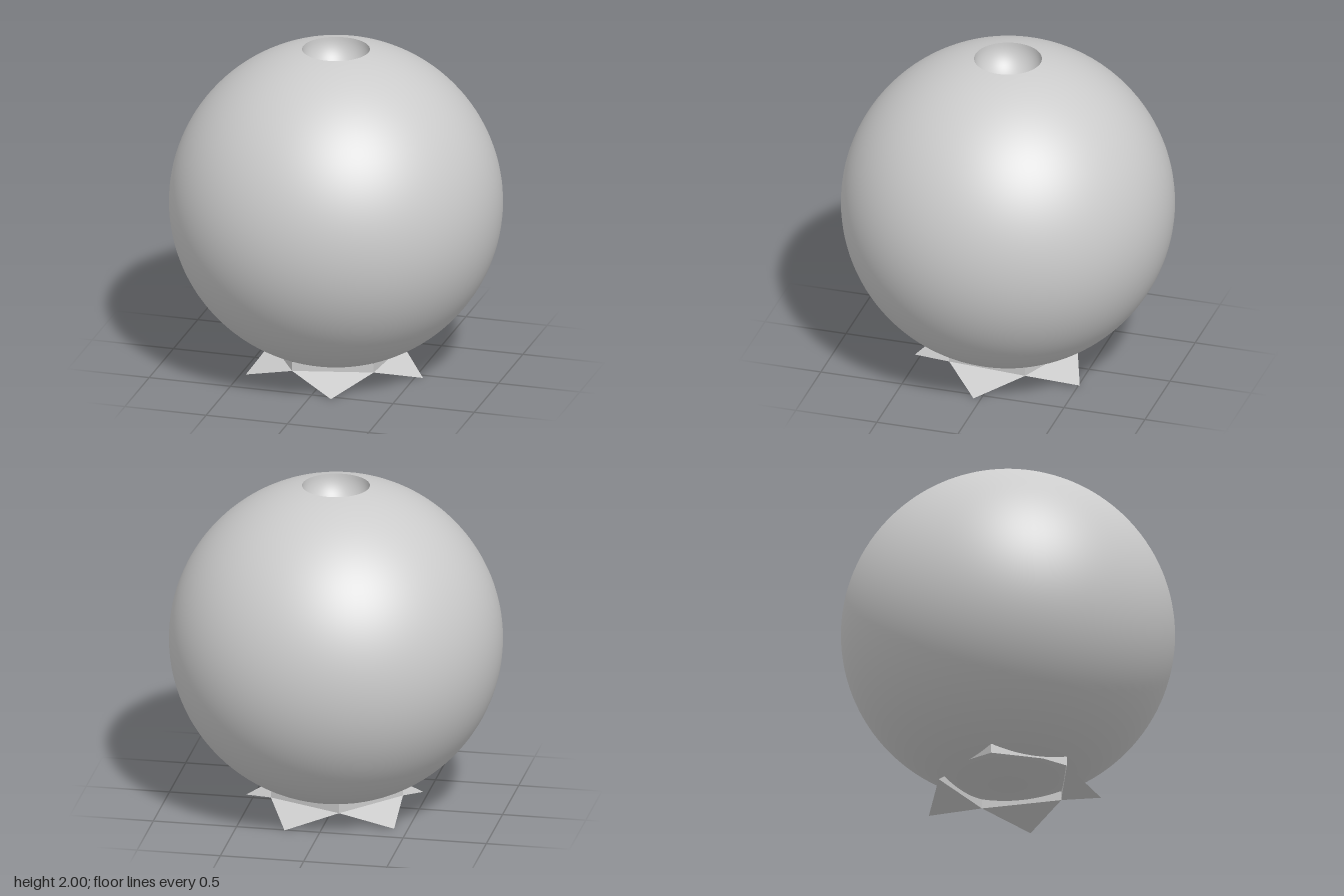
import * as THREE from 'three';

const CENTRE_Y = 1.04, RX = 0.985, RY = 0.98; // globe
const HOLE = 0.2;                             // top opening radius
const SIDES = 5, BASE_R = 0.41, TIP_R = 0.55; // star foot
const BAND_LOW = 0.09, BAND_HIGH = 0.147;
const START = THREE.MathUtils.degToRad(40.5);

const smooth = new THREE.MeshStandardMaterial({ color: 0xcccccc, side: THREE.DoubleSide });
const faceted = new THREE.MeshStandardMaterial({ color: 0xcccccc, side: THREE.DoubleSide, flatShading: true });

function add(group, name, geometry, material) {
  const mesh = new THREE.Mesh(geometry, material);
  mesh.name = name;
  group.add(mesh);
  return mesh;
}

// points on an elliptical arc, angle measured from straight down
function arc(rx, ry, cy, from, to, steps) {
  return Array.from({ length: steps + 1 }, (_, i) => {
    const a = from + (to - from) * i / steps;
    return new THREE.Vector2(Math.max(0, rx * Math.sin(a)), cy - ry * Math.cos(a));
  });
}

const polar = (r, a, y) => [r * Math.cos(a), y, r * Math.sin(a)];

export function createModel() {
  const model = new THREE.Group();
  model.name = 'globe on star foot';

  // globe, left open at the top
  const rimAngle = Math.PI - Math.asin(HOLE / RX);
  const globe = arc(RX, RY, CENTRE_Y, 0, rimAngle, 64);
  add(model, 'globe', new THREE.LatheGeometry(globe, 96), smooth);

  // round hollow sunk into the top
  const rimY = globe[globe.length - 1].y;
  const hollow = arc(HOLE, HOLE, rimY, Math.PI / 2, 0, 16);
  add(model, 'topHollow', new THREE.LatheGeometry(hollow, 96), smooth);

  // five-sided collar under the globe
  const collar = new THREE.CylinderGeometry(BASE_R, BASE_R, BAND_HIGH - BAND_LOW, SIDES, 1, true, Math.PI / 2 - START);
  add(model, 'collar', collar, faceted).position.y = (BAND_LOW + BAND_HIGH) / 2;

  // pointed feet, one on each side of the collar
  const step = 2 * Math.PI / SIDES;
  for (let i = 0; i < SIDES; i++) {
    const a = START + i * step;
    const foot = new THREE.BufferGeometry();
    foot.setAttribute('position', new THREE.Float32BufferAttribute([
      ...polar(BASE_R, a, BAND_LOW),
      ...polar(BASE_R, a + step, BAND_LOW),
      ...polar(TIP_R, a + step / 2, 0),
    ], 3));
    foot.computeVertexNormals();
    add(model, 'pointedFoot' + (i + 1), foot, faceted);
  }
  return model;
}
